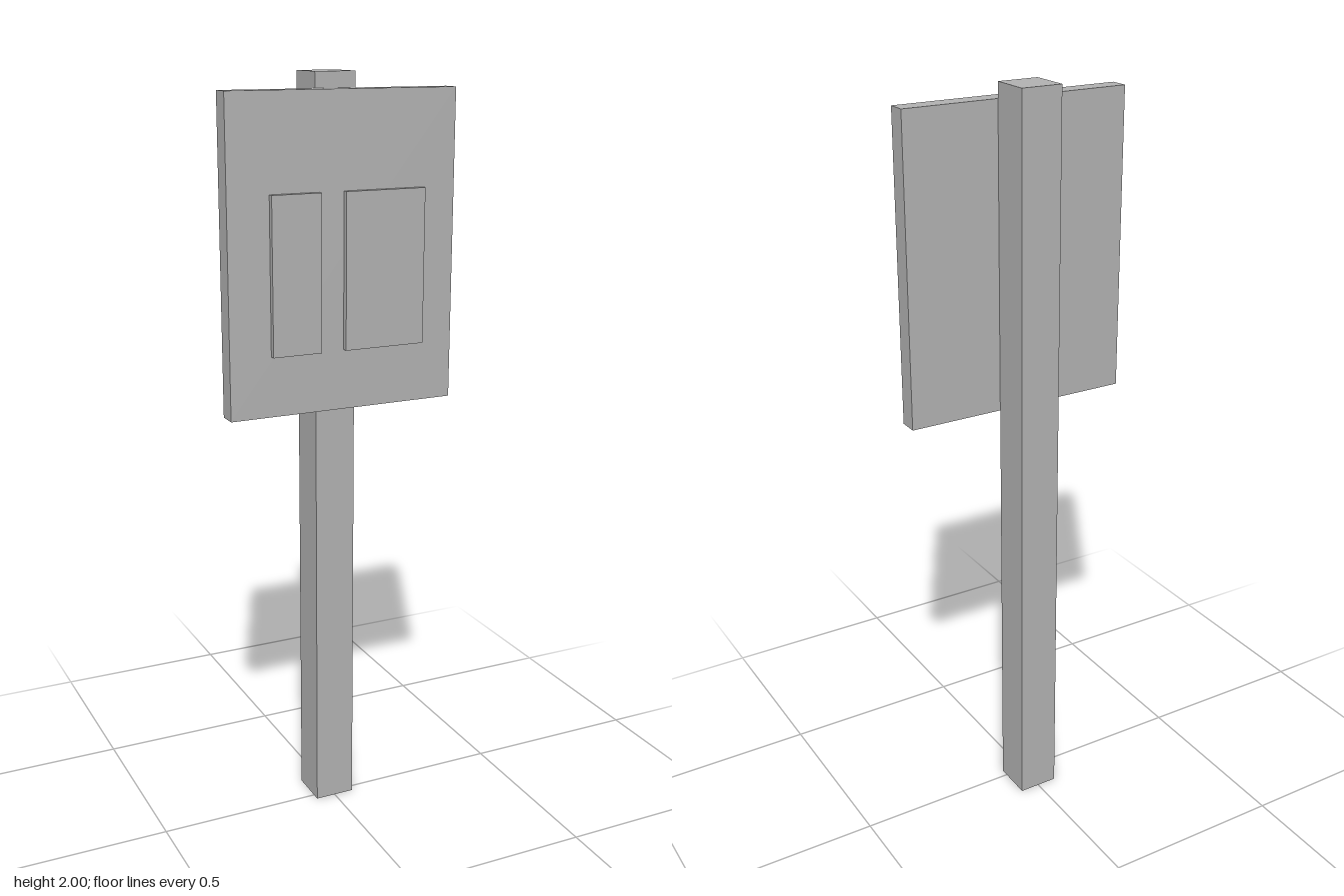
import * as THREE from 'three';

export function createModel() {
  const model = new THREE.Group();
  model.name = 'signpost';
  const grey = new THREE.MeshStandardMaterial({ color: 0xb0b0b0 });
  grey.name = 'grey';

  // Box given by its extents on each axis
  const box = (name, [x0, x1], [y0, y1], [z0, z1]) => {
    const mesh = new THREE.Mesh(new THREE.BoxGeometry(x1 - x0, y1 - y0, z1 - z0), grey);
    mesh.position.set((x0 + x1) / 2, (y0 + y1) / 2, (z0 + z1) / 2);
    mesh.name = name;
    model.add(mesh);
  };

  // Square post with the board fixed to its front
  box('post', [-0.055, 0.055], [0, 2], [-0.088, 0.022]);
  box('board', [-0.311, 0.311], [1.16, 1.96], [0.022, 0.073]);

  // Raised notices on the board
  box('narrowNotice', [-0.2, -0.067], [1.316, 1.716], [0.073, 0.088]);
  box('wideNotice', [0, 0.221], [1.316, 1.716], [0.073, 0.088]);

  return model;
}
